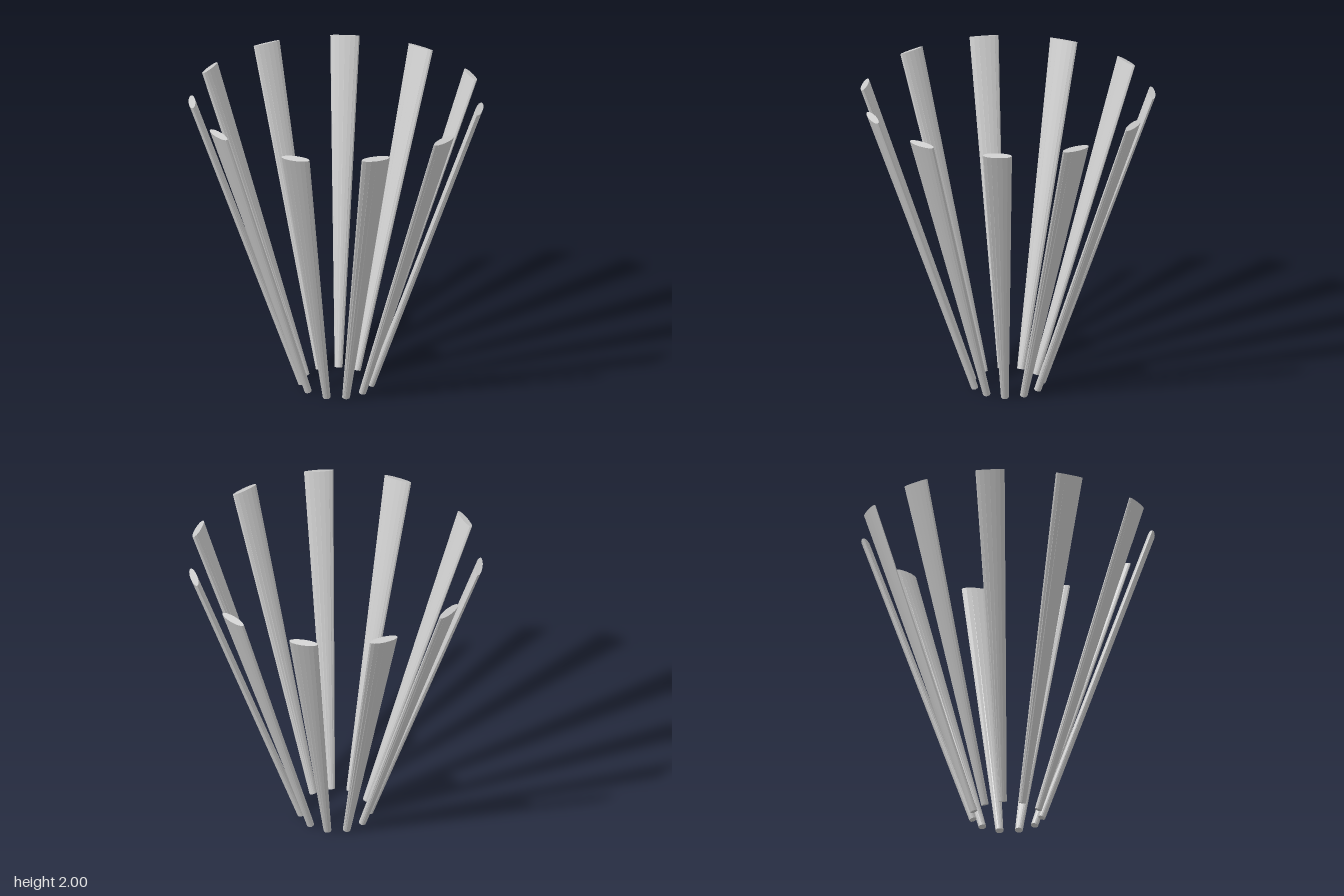
import * as THREE from 'three';

const COUNT = 11;
const STEP = THREE.MathUtils.degToRad(32.2); // slightly under a full turn, leaving one wider gap
const START = THREE.MathUtils.degToRad(37.4);
const BASE_RADIUS = 0.22, TOP_RADIUS = 0.912;
const THICKNESS = 0.0225;                    // constant half-depth, radially
const BASE_HALF = 0.025, TOP_HALF = 0.093;   // half-widths around the ring

// Tapered stave: round at the foot, flattening into a wide oval at the tip
function staveGeometry(length) {
  const geo = new THREE.CylinderGeometry(1, 1, length, 16);
  const pos = geo.attributes.position;
  for (let i = 0; i < pos.count; i++) {
    const t = pos.getY(i) / length + 0.5;
    pos.setX(i, pos.getX(i) * THREE.MathUtils.lerp(BASE_HALF, TOP_HALF, t));
    pos.setZ(i, pos.getZ(i) * THREE.MathUtils.lerp(THICKNESS, THICKNESS, t));
  }
  geo.computeVertexNormals();
  return geo;
}

export function createModel() {
  const model = new THREE.Group();
  model.name = 'flaredStaveRing';
  const material = new THREE.MeshStandardMaterial({ color: 0xcccccc, flatShading: true });

  // Lean outward; the end caps stay square to each stave's axis
  const run = TOP_RADIUS - BASE_RADIUS;
  const rise = 1.985;
  const lean = Math.atan2(run, rise);
  const geo = staveGeometry(Math.hypot(run, rise));

  for (let i = 0; i < COUNT; i++) {
    const arm = new THREE.Group();
    arm.name = `staveArm${i + 1}`;
    arm.position.z = -0.013;
    arm.rotation.y = START + i * STEP;
    const stave = new THREE.Mesh(geo, material);
    stave.name = 'stave';
    stave.position.set(0, 1, (BASE_RADIUS + TOP_RADIUS) / 2);
    stave.rotation.x = lean;
    arm.add(stave);
    model.add(arm);
  }
  return model;
}
